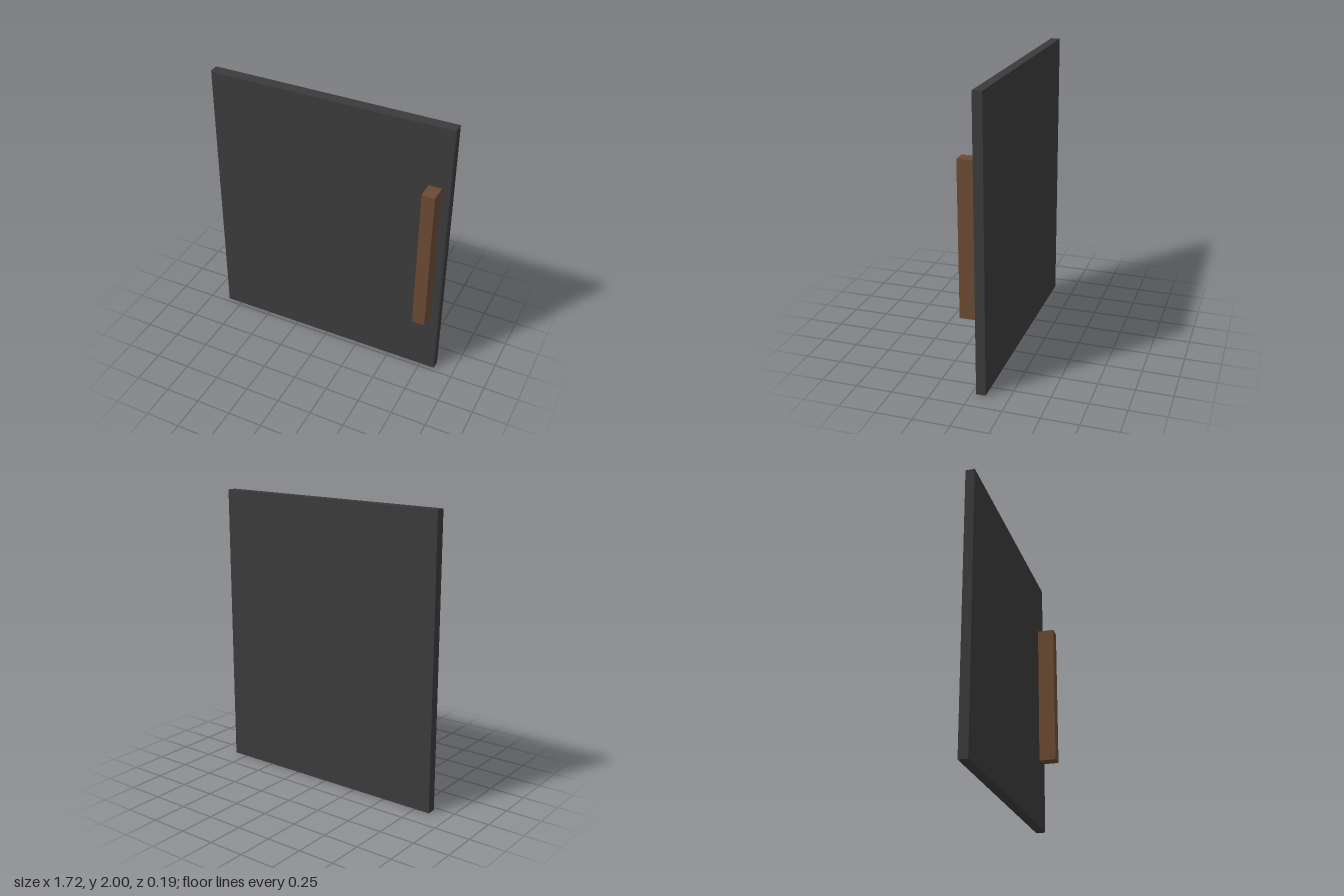
import * as THREE from 'three';

export function createModel() {
  const group = new THREE.Group();
  group.name = 'door';

  const charcoal = new THREE.MeshStandardMaterial({ name: 'charcoal', color: 0x3b3b3b });
  const brownWood = new THREE.MeshStandardMaterial({ name: 'brownWood', color: 0x6b4a33 });

  // Door slab with a slim chamfer around its front face
  const width = 1.72, height = 2, depth = 0.068;
  const inset = 0.008, chamfer = 0.004;
  const indexed = new THREE.BoxGeometry(width, height, depth, 1, 1, 2);
  const pos = indexed.attributes.position;
  for (let i = 0; i < pos.count; i++) {
    const z = pos.getZ(i);
    if (Math.abs(z) < 1e-5) {
      pos.setZ(i, depth / 2 - chamfer);
    } else if (z > 0) {
      pos.setX(i, pos.getX(i) - Math.sign(pos.getX(i)) * inset);
      pos.setY(i, pos.getY(i) - Math.sign(pos.getY(i)) * inset);
    }
  }
  const slabGeometry = indexed.toNonIndexed();
  slabGeometry.computeVertexNormals();
  const slab = new THREE.Mesh(slabGeometry, charcoal);
  slab.name = 'doorSlab';
  slab.position.set(0, height / 2, -0.061);
  group.add(slab);

  // Upright bar handle near the left edge
  const handle = new THREE.Mesh(new THREE.BoxGeometry(0.09, 1.06, 0.122), brownWood);
  handle.name = 'handle';
  handle.position.set(0.755, 1.03, 0.034);
  group.add(handle);

  return group;
}
